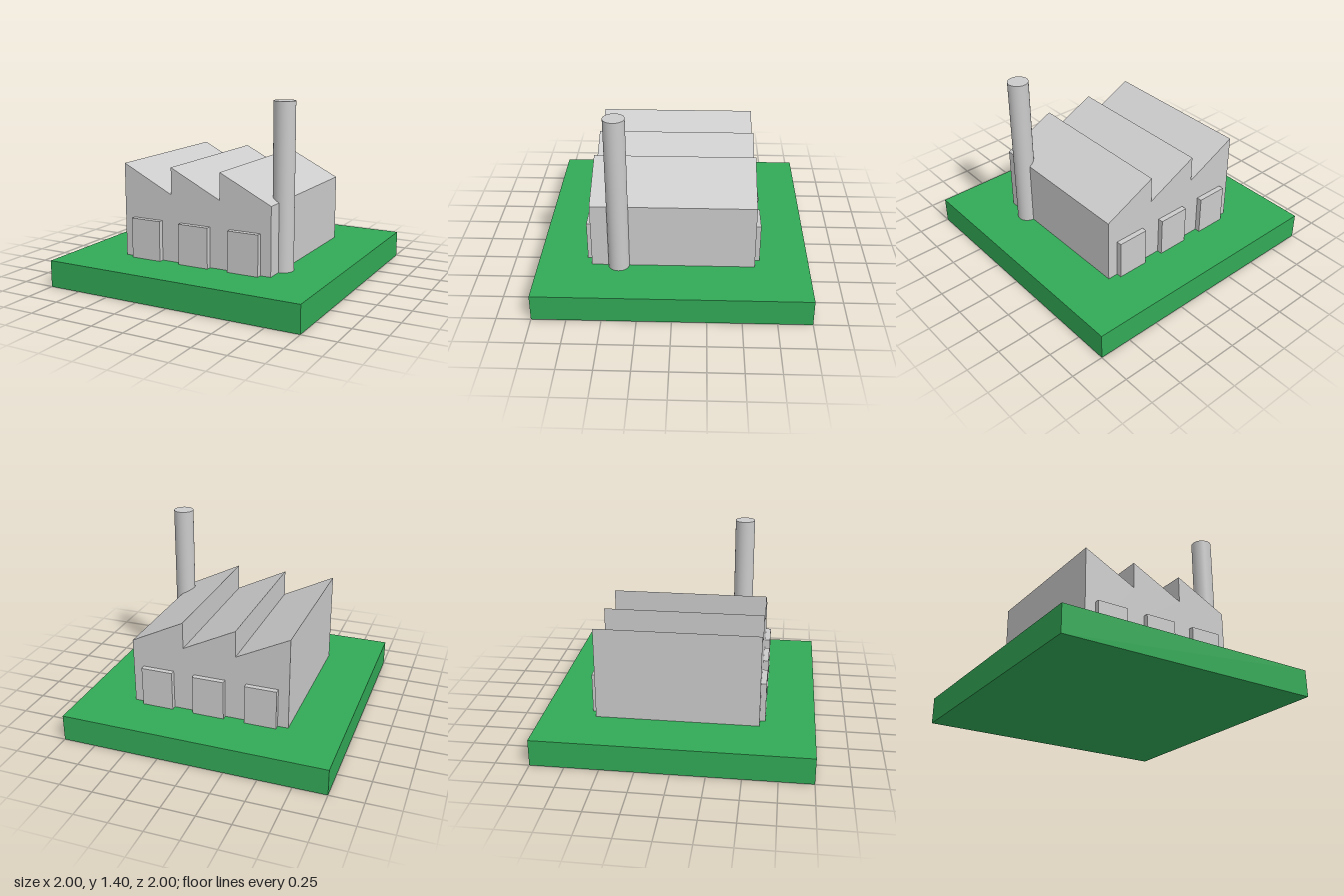
import * as THREE from 'three';

export function createModel() {
  const model = new THREE.Group();
  const grey = new THREE.MeshStandardMaterial({ color: 0xcccccc });
  const green = new THREE.MeshStandardMaterial({ color: 0x32a956 });

  const add = (name, geometry, material, x, y, z) => {
    const mesh = new THREE.Mesh(geometry, material);
    mesh.name = name;
    mesh.position.set(x, y, z);
    model.add(mesh);
  };

  const ground = 0.2; // top of the base slab
  const half = 0.6; // half width and half depth of the hall
  const bays = 3;
  const bayWidth = (2 * half) / bays;

  // Grass slab
  add('base', new THREE.BoxGeometry(2, ground, 2), green, 0, ground / 2, 0);

  // Hall with a sawtooth roof, extruded from front to back
  const profile = new THREE.Shape();
  profile.moveTo(-half, 0);
  profile.lineTo(half, 0);
  for (let i = bays - 1; i >= 0; i--) {
    const left = -half + i * bayWidth;
    profile.lineTo(left + bayWidth, 0.5);
    profile.lineTo(left, 0.7);
  }
  const hall = new THREE.ExtrudeGeometry(profile, { depth: 2 * half, bevelEnabled: false });
  add('hall', hall, grey, 0, ground, -half);

  // Three doors on the front and three on the back
  const door = new THREE.BoxGeometry(0.24, 0.3, 0.04);
  for (const side of [1, -1]) {
    for (let i = 0; i < bays; i++) {
      const x = (i - 1) * bayWidth;
      add(side > 0 ? 'frontDoor' : 'backDoor', door, grey, x, ground + 0.15, side * (half + 0.02));
    }
  }

  // Chimney set into the side wall
  add('chimney', new THREE.CylinderGeometry(0.077, 0.077, 1.2, 32), grey, half, ground + 0.6, 0.4);

  return model;
}
